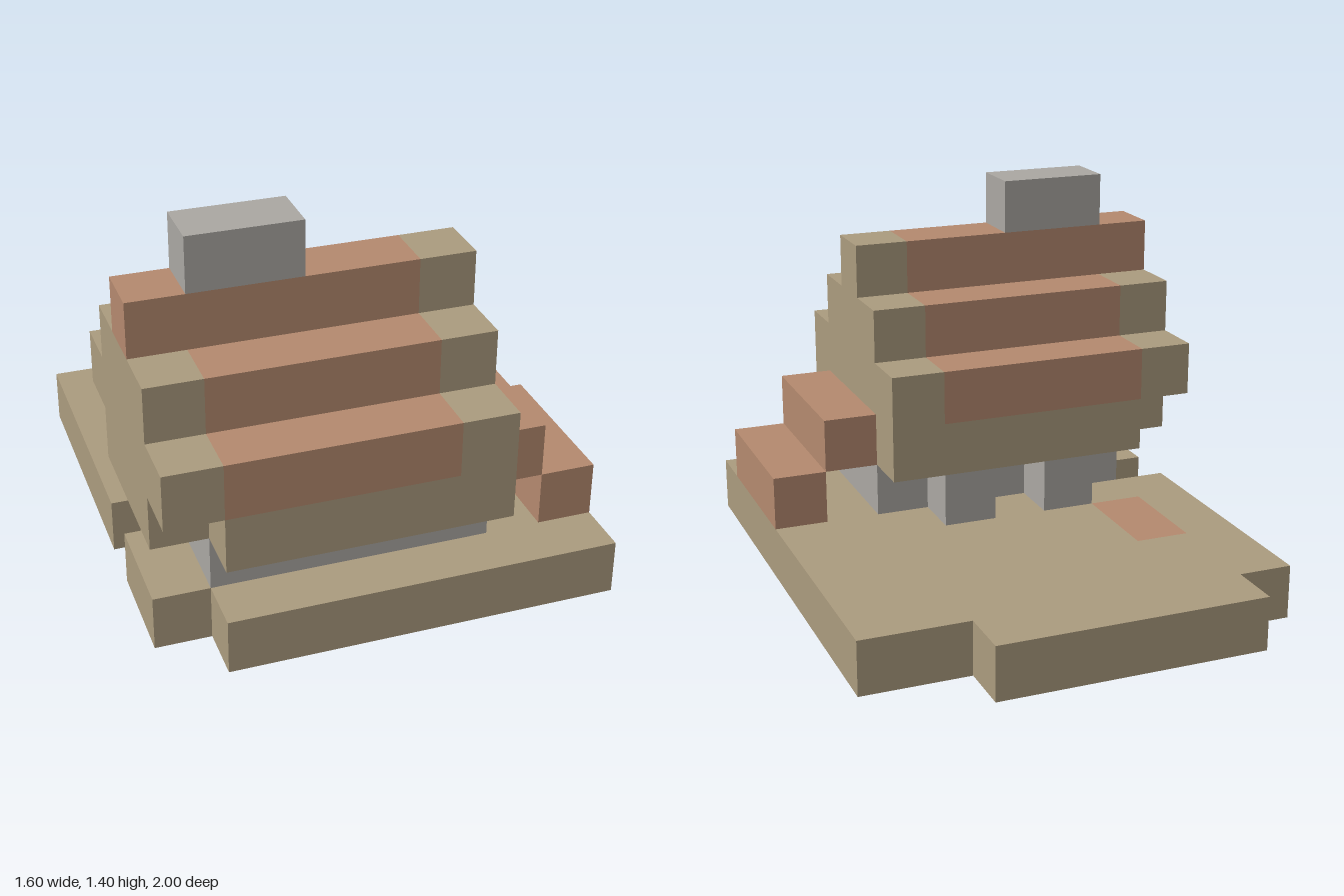
import * as THREE from 'three';

const CELL = 0.2; // edge of one cube

const material = (name, color) =>
  new THREE.MeshStandardMaterial({ name, color, side: THREE.DoubleSide });

export function createModel() {
  const tan = material('tan', 0xac9c7f);
  const clay = material('clay', 0xb58a6f);
  const grey = material('grey', 0xaba8a3);

  // Each part is a set of cube blocks [x0, y0, z0, x1, y1, z1] in cells; later parts replace earlier cells.
  const parts = [
    // yard slab with stepped edges and a gap on the right
    { name: 'ground', mat: tan, blocks: [
      [-3, 0, -5, 2, 1, -4], [-3, 0, -4, 4, 1, 5], [-4, 0, -4, -3, 1, 1], [-4, 0, 2, -3, 1, 4]] },
    { name: 'path', mat: clay, blocks: [[-3, 0, -2, -2, 1, 0]] },
    // stone footing with two rear pillars
    { name: 'foundation', mat: grey, blocks: [[-3, 1, 1, 2, 2, 4]] },
    { name: 'rearPillars', mat: grey, blocks: [[-2, 1, 0, -1, 2, 1], [0, 1, 0, 1, 2, 1]] },
    // overhanging walls and stepped gable ends
    { name: 'walls', mat: tan, blocks: [[-3, 2, 0, 2, 3, 5], [-4, 2, 1, -3, 3, 4]] },
    { name: 'gables', mat: tan, blocks: [[-4, 3, 0, 2, 4, 5], [-4, 4, 1, 2, 5, 4], [1, 5, 2, 2, 6, 3]] },
    { name: 'roof', mat: clay, blocks: [[-3, 3, 0, 1, 4, 5], [-3, 4, 1, 1, 5, 4], [-4, 5, 2, 1, 6, 3]] },
    { name: 'chimney', mat: grey, blocks: [[-3, 6, 2, -1, 7, 3]] },
    { name: 'sideSteps', mat: clay, blocks: [[3, 1, 1, 4, 2, 4], [2, 2, 1, 3, 3, 4]] },
  ];

  // Fill the grid
  const cells = new Map();
  for (const part of parts)
    for (const [x0, y0, z0, x1, y1, z1] of part.blocks)
      for (let x = x0; x < x1; x++)
        for (let y = y0; y < y1; y++)
          for (let z = z0; z < z1; z++) cells.set([x, y, z].join(), { pos: [x, y, z], part });

  // Outer skin only: faces between cubes and the underside at ground level stay open
  const skin = (part) => {
    const positions = [];
    for (const { pos, part: owner } of cells.values()) {
      if (owner !== part) continue;
      for (let axis = 0; axis < 3; axis++) {
        for (const side of [0, 1]) {
          const next = [...pos];
          next[axis] += side ? 1 : -1;
          if (next[1] < 0 || cells.has(next.join())) continue;
          const corners = [[0, 0], [1, 0], [1, 1], [0, 1]].map(([u, v]) => {
            const p = [...pos];
            p[axis] += side;
            p[(axis + 1) % 3] += u;
            p[(axis + 2) % 3] += v;
            return p.map((c) => c * CELL);
          });
          if (!side) corners.reverse();
          for (const i of [0, 1, 2, 0, 2, 3]) positions.push(...corners[i]);
        }
      }
    }
    const geometry = new THREE.BufferGeometry();
    geometry.setAttribute('position', new THREE.Float32BufferAttribute(positions, 3));
    geometry.computeVertexNormals();
    return geometry;
  };

  const house = new THREE.Group();
  house.name = 'house';
  for (const part of parts) {
    const mesh = new THREE.Mesh(skin(part), part.mat);
    mesh.name = part.name;
    house.add(mesh);
  }
  return house;
}
